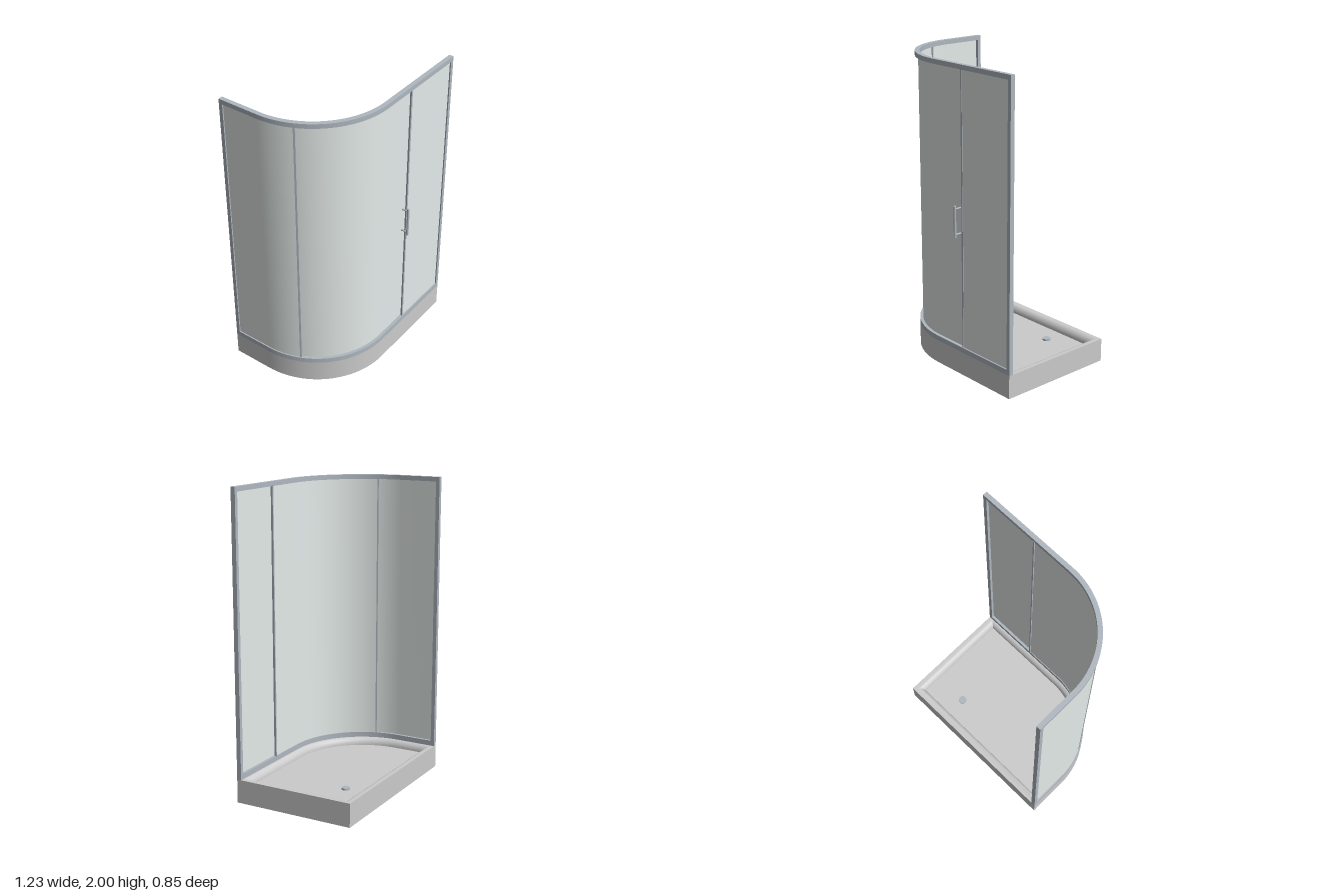
import * as THREE from 'three';
import { toCreasedNormals } from 'three/addons/utils/BufferGeometryUtils.js';

// Plan outline: left side, rounded front corner, front side
const X0 = -0.615, X1 = 0.612, ZB = -0.425, R = 0.535, CX = -0.08, CZ = -0.145;
const S1 = CZ - ZB, S2 = S1 + R * Math.PI / 2, S3 = S2 + X1 - CX;
const RIM = 0.155, TOP = 2, FLOOR = 0.105, ARC = 32;

const metal = new THREE.MeshStandardMaterial({ color: 0xb0b8c0 });
const glass = new THREE.MeshStandardMaterial({ color: 0xe4ebe9 });
const enamel = new THREE.MeshStandardMaterial({ color: 0xcccccc });

// Point at distance s along the outline, moved inward by d
function at(s, d) {
  if (s <= S1) return new THREE.Vector2(X0 + d, ZB + s);
  if (s >= S2) return new THREE.Vector2(CX + s - S2, CZ + R - d);
  const a = (s - S1) / R;
  return new THREE.Vector2(CX - (R - d) * Math.cos(a), CZ + (R - d) * Math.sin(a));
}

function run(s0, s1, d) {
  const stops = [s0];
  for (let i = 0; i <= ARC; i++) {
    const s = S1 + (S2 - S1) * i / ARC;
    if (s > s0 + 1e-4 && s < s1 - 1e-4) stops.push(s);
  }
  stops.push(s1);
  return stops.map(s => at(s, d));
}

const toShape = pts => new THREE.Shape(pts.map(p => new THREE.Vector2(p.x, -p.y)));

function add(group, name, geometry, material) {
  const mesh = new THREE.Mesh(geometry, material);
  mesh.name = name;
  group.add(mesh);
  return mesh;
}

// Upright strip that follows the outline from s0 to s1
function strip(group, name, material, s0, s1, d0, d1, y0, y1) {
  const shape = toShape([...run(s0, s1, d0), ...run(s0, s1, d1).reverse()]);
  const geo = new THREE.ExtrudeGeometry(shape, { depth: y1 - y0, bevelEnabled: false });
  geo.rotateX(-Math.PI / 2).translate(0, y0, 0);
  return add(group, name, toCreasedNormals(geo, 0.5), material);
}

// Closed tray outline at inset d
const trayOutline = d => [...run(d, S3 - d, d), new THREE.Vector2(X1 - d, ZB + d)];

function trayWalls() {
  // Inset and height: outer wall, flat rim, then a rounded fall to the floor
  const profile = [[0, 0], [0, RIM], [0.02, RIM]];
  for (let i = 1; i <= 8; i++) {
    const a = i / 8 * Math.PI / 2;
    profile.push([0.02 + 0.043 * Math.sin(a), FLOOR + (RIM - FLOOR) * Math.cos(a)]);
  }
  const pos = [], index = [];
  for (const [d, y] of profile) for (const p of trayOutline(d)) pos.push(p.x, y, p.y);
  const n = trayOutline(0).length;
  for (let r = 0; r < profile.length - 1; r++) {
    for (let i = 0; i < n; i++) {
      const j = (i + 1) % n, a = r * n + i, b = r * n + j;
      index.push(a, b, b + n, a, b + n, a + n);
    }
  }
  const geo = new THREE.BufferGeometry();
  geo.setAttribute('position', new THREE.Float32BufferAttribute(pos, 3));
  geo.setIndex(index);
  return toCreasedNormals(geo, 0.5);
}

export function createModel() {
  const model = new THREE.Group();
  model.name = 'showerEnclosure';

  // Tray
  const tray = new THREE.Group();
  tray.name = 'tray';
  model.add(tray);
  add(tray, 'trayWalls', trayWalls(), enamel);
  const floor = new THREE.ShapeGeometry(toShape(trayOutline(0.063)));
  add(tray, 'trayFloor', floor.rotateX(-Math.PI / 2).translate(0, FLOOR, 0), enamel);
  const base = new THREE.ShapeGeometry(toShape(trayOutline(0)));
  base.rotateX(-Math.PI / 2);
  base.setIndex([...base.index.array].reverse());
  base.computeVertexNormals();
  add(tray, 'trayBase', base, enamel);
  add(tray, 'drainCap', new THREE.CylinderGeometry(0.027, 0.027, 0.012, 32), metal)
    .position.set(0.305, FLOOR + 0.006, -0.225);

  // Frame
  const frame = new THREE.Group();
  frame.name = 'frame';
  model.add(frame);
  strip(frame, 'bottomRail', metal, 0, S3, 0, 0.03, RIM, 0.19);
  strip(frame, 'topRail', metal, 0, S3, 0, 0.03, 1.97, TOP);
  strip(frame, 'backPost', metal, 0, 0.025, 0, 0.03, 0.19, 1.97);
  strip(frame, 'frontPost', metal, S3 - 0.025, S3, 0, 0.03, 0.19, 1.97);

  // Fixed outer panes with edge strips
  const y0 = 0.185, y1 = 1.975;
  const sideEnd = 0.515, frontStart = 1.372;
  strip(model, 'sidePane', glass, 0.02, sideEnd, 0.008, 0.012, y0, y1);
  strip(model, 'frontPane', glass, frontStart, S3 - 0.02, 0.008, 0.012, y0, y1);
  for (const s of [sideEnd, frontStart])
    strip(frame, 'paneEdge', metal, s - 0.006, s + 0.006, 0.005, 0.016, y0, y1);

  // Curved sliding door behind the fixed panes
  const door = new THREE.Group();
  door.name = 'door';
  model.add(door);
  const doorStart = 0.45, doorEnd = 1.4;
  strip(door, 'doorPane', glass, doorStart, doorEnd, 0.021, 0.025, y0, y1);
  for (const s of [doorStart, doorEnd])
    strip(door, 'doorEdge', metal, s - 0.005, s + 0.005, 0.018, 0.032, y0, y1);

  // Handle
  const handle = new THREE.Group();
  handle.name = 'handle';
  door.add(handle);
  add(handle, 'handleBar', new THREE.CylinderGeometry(0.008, 0.008, 0.205, 16), metal)
    .position.set(0.14, 1.028, 0.415);
  for (const y of [0.945, 1.11]) {
    const stem = add(handle, 'handleStem', new THREE.CylinderGeometry(0.006, 0.006, 0.048, 12), metal);
    stem.rotation.x = Math.PI / 2;
    stem.position.set(0.14, y, 0.391);
  }
  return model;
}
